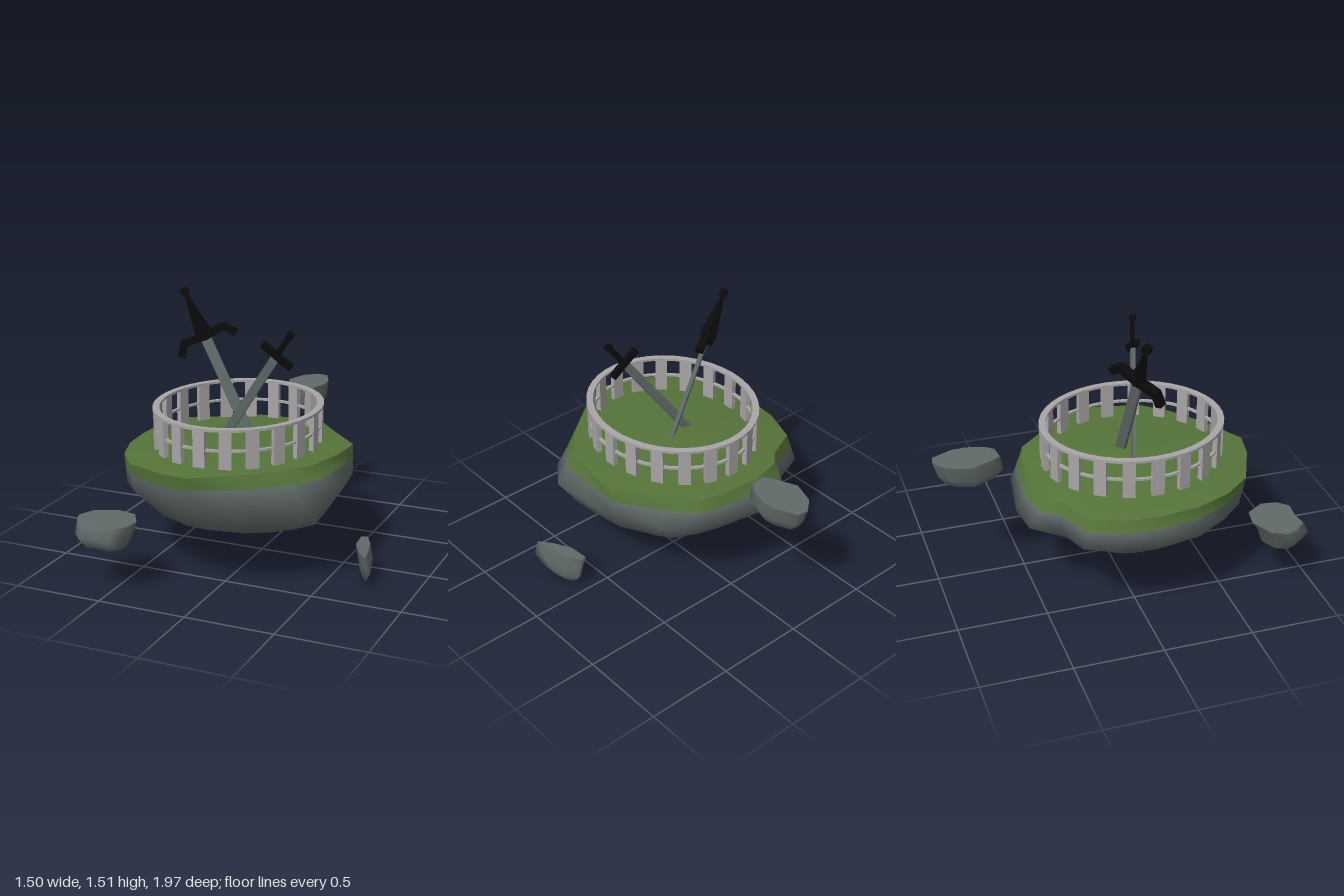
import * as THREE from 'three';

const rockMat = new THREE.MeshStandardMaterial({ color: 0x616a69 });
rockMat.name = 'stone grey';
const grassMat = new THREE.MeshStandardMaterial({ color: 0x56743a });
grassMat.name = 'grass green';
const railMat = new THREE.MeshStandardMaterial({ color: 0xa8a5a6 });
railMat.name = 'fence grey';
const hiltMat = new THREE.MeshStandardMaterial({ color: 0x0b0b0c });
hiltMat.name = 'hilt black';

function add(parent, name, geometry, material, x = 0, y = 0, z = 0) {
  const mesh = new THREE.Mesh(geometry, material);
  mesh.name = name;
  mesh.position.set(x, y, z);
  parent.add(mesh);
  return mesh;
}

// Skin closed rings of [x, y, z] points, listed from top to bottom
function loft(rings) {
  const n = rings[0].length;
  const index = [];
  for (let r = 0; r < rings.length - 1; r++) {
    for (let i = 0; i < n; i++) {
      const a = r * n + i, b = r * n + (i + 1) % n;
      index.push(a, b, a + n, b, b + n, a + n);
    }
  }
  const g = new THREE.BufferGeometry();
  g.setAttribute('position', new THREE.Float32BufferAttribute(rings.flat(2), 3));
  g.setIndex(index);
  g.computeVertexNormals();
  return g;
}

// Scale a ring about one centre and place it at another centre and height
const scaled = (ring, [cx, cz], s, [nx, nz], y) =>
  ring.map(p => [nx + (p[0] - cx) * s, y, nz + (p[2] - cz) * s]);
const point = (n, x, y, z) => Array.from({ length: n }, () => [x, y, z]);

// Island outline: grass edge and widest rock edge, clockwise from the back left
const GRASS = [[-.36, -.445], [-.18, -.49], [.095, -.47], [.2, -.44], [.31, -.31], [.51, -.09], [.5, .105],
  [.44, .345], [.32, .49], [.11, .66], [-.02, .73], [-.09, .775], [-.25, .745], [-.49, .64], [-.61, .485],
  [-.68, .29], [-.7, .08], [-.69, -.08], [-.615, -.29], [-.435, -.37]];
const WIDE = [[-.37, -.555], [-.18, -.58], [.14, -.53], [.31, -.445], [.38, -.345], [.51, -.09], [.54, .105],
  [.56, .345], [.45, .5], [.11, .7], [-.01, .715], [-.09, .735], [-.25, .715], [-.48, .61], [-.6, .475],
  [-.71, .29], [-.75, .08], [-.725, -.16], [-.645, -.335], [-.455, -.41]];

function island(root) {
  const group = new THREE.Group();
  group.name = 'island';
  root.add(group);
  const n = GRASS.length, c = [-.09, .08];
  const rim = GRASS.map(([x, z]) => [x, .657 + .03 * x + .014 * z, z]);
  const wide = WIDE.map(([x, z]) => [x, .49 + .02 * x, z]);
  const seam = rim.map((p, i) => p.map((v, k) => v + (wide[i][k] - v) * .42));
  const dome = rim.map(([x, y, z]) => [c[0] + (x - c[0]) * .75, y * .4 + .69 * .6, c[1] + (z - c[1]) * .75]);
  add(group, 'grassTop', loft([point(n, c[0], .705, c[1]), dome, rim]), grassMat);
  add(group, 'grassEdge', loft([rim, seam]), grassMat);

  const mid = scaled(wide, c, .77, [-.05, .12], .335);
  const foot = Array.from({ length: n }, (_, i) => {
    const a = Math.atan2(wide[i][2] - c[1], wide[i][0] - c[0]);
    return [-.08 + .27 * Math.cos(a), .187, .05 + .21 * Math.sin(a)];
  });
  add(group, 'rockBody', loft([seam, wide, mid, foot]), rockMat);
  add(group, 'rockBase', loft([foot, point(n, -.08, .187, .05)]), rockMat);
}

// Floating boulder with a flat top; steps are [y, scale, shiftX, shiftZ]
function boulder(root, name, outline, topY, steps) {
  const group = new THREE.Group();
  group.name = name;
  root.add(group);
  const n = outline.length;
  const cx = outline.reduce((s, p) => s + p[0], 0) / n;
  const cz = outline.reduce((s, p) => s + p[1], 0) / n;
  const rim = outline.map(([x, z]) => [x, topY, z]);
  const rings = steps.map(([y, s, dx, dz]) => scaled(rim, [cx, cz], s, [cx + dx, cz + dz], y));
  add(group, 'boulderTop', loft([point(n, cx, topY, cz), rim]), rockMat);
  add(group, 'boulderBody', loft([rim, ...rings]), rockMat);
}

// Flat oval band
function ovalRail(rx, rz, width, height) {
  const shape = new THREE.Shape().absellipse(0, 0, rx, rz, 0, Math.PI * 2);
  shape.holes.push(new THREE.Path().absellipse(0, 0, rx - width, rz - width, 0, Math.PI * 2, true));
  return new THREE.ExtrudeGeometry(shape, { depth: height, bevelEnabled: false, curveSegments: 20 })
    .rotateX(-Math.PI / 2);
}

function fence(root) {
  const group = new THREE.Group();
  group.name = 'fence';
  group.position.set(-.09, 0, .113);
  root.add(group);
  add(group, 'topRail', ovalRail(.463, .517, .038, .014), railMat, 0, .881, 0);
  add(group, 'middleRail', ovalRail(.452, .506, .018, .012), railMat, 0, .768, 0);
  const postGeo = new THREE.BoxGeometry(.068, .215, .028);
  for (let i = 0; i < 20; i++) {
    const a = i * Math.PI / 10;
    const post = add(group, 'post', postGeo, railMat, .444 * Math.sin(a), .778, .498 * Math.cos(a));
    post.rotation.y = Math.atan2(Math.sin(a) / .444, Math.cos(a) / .498);
  }
}

// Group whose y axis runs from blade tip to pommel and whose x axis follows the guard
function swordGroup(root, name, tip, pommel, guardDir) {
  const group = new THREE.Group();
  group.name = name;
  const base = new THREE.Vector3(...tip);
  const up = new THREE.Vector3(...pommel).sub(base).normalize();
  const front = new THREE.Vector3(...guardDir).cross(up).normalize();
  const side = up.clone().cross(front);
  group.quaternion.setFromRotationMatrix(new THREE.Matrix4().makeBasis(side, up, front));
  group.position.copy(base);
  root.add(group);
  return group;
}

function swords(root) {
  // Large sword with a hooked guard and tapered grip
  const big = swordGroup(root, 'largeSword', [-.03, .67, .065], [-.435, 1.49, .075], [.23, .13, -.18]);
  add(big, 'blade', new THREE.BoxGeometry(.058, .65, .022), rockMat, 0, .325, 0);
  const half = [[.13, .027], [.182, -.045], [.15, -.068], [.11, -.016]];
  const outline = [[0, .022], ...half, [0, -.027], ...half.map(([x, y]) => [-x, y]).reverse()];
  const guard = new THREE.ExtrudeGeometry(new THREE.Shape(outline.map(p => new THREE.Vector2(...p))),
    { depth: .045, bevelEnabled: false });
  add(big, 'guard', guard, hiltMat, 0, .64, -.0225);
  const grip = new THREE.CylinderGeometry(.01, .05, .25, 4).toNonIndexed();
  grip.computeVertexNormals();
  add(big, 'grip', grip, hiltMat, 0, .765, 0);
  add(big, 'pommel', new THREE.BoxGeometry(.042, .042, .042), hiltMat, 0, .905, 0);

  // Small sword with a straight guard
  const small = swordGroup(root, 'smallSword', [-.2, .67, .09], [.27, 1.345, .235], [.15, -.12, 0]);
  add(small, 'blade', new THREE.BoxGeometry(.048, .67, .018), rockMat, 0, .335, 0);
  add(small, 'guard', new THREE.BoxGeometry(.2, .034, .032), hiltMat, 0, .668, 0);
  add(small, 'grip', new THREE.BoxGeometry(.026, .15, .022), hiltMat, 0, .745, 0);
  add(small, 'pommel', new THREE.BoxGeometry(.036, .035, .028), hiltMat, 0, .82, 0);
}

export function createModel() {
  const root = new THREE.Group();
  root.name = 'floatingArena';
  island(root);
  fence(root);
  swords(root);
  boulder(root, 'frontBoulder',
    [[-.67, .725], [-.55, .668], [-.44, .69], [-.377, .79], [-.39, .88], [-.445, .937], [-.54, .925],
      [-.63, .937], [-.69, .87], [-.712, .81]],
    .388, [[.32, .95, 0, .042], [.255, .72, 0, .02], [.232, .4, 0, 0], [.23, 0, 0, 0]]);
  boulder(root, 'backBoulder',
    [[-.17, -.81], [-.127, -.937], [-.053, -1], [.01, -.99], [.063, -.873], [.069, -.794], [.037, -.688],
      [.005, -.645], [-.085, -.635], [-.116, -.688]],
    .785, [[.7, .97, 0, .02], [.65, .75, 0, .01], [.632, .45, 0, 0], [.63, 0, 0, 0]]);
  boulder(root, 'rightBoulder',
    [[.615, .04], [.65, .032], [.695, .12], [.725, .24], [.735, .33], [.68, .26], [.625, .16]],
    .19, [[.11, 1, .02, .01], [.05, .8, .015, -.005], [.012, .45, .01, -.01], [0, 0, .01, -.01]]);
  return root;
}
